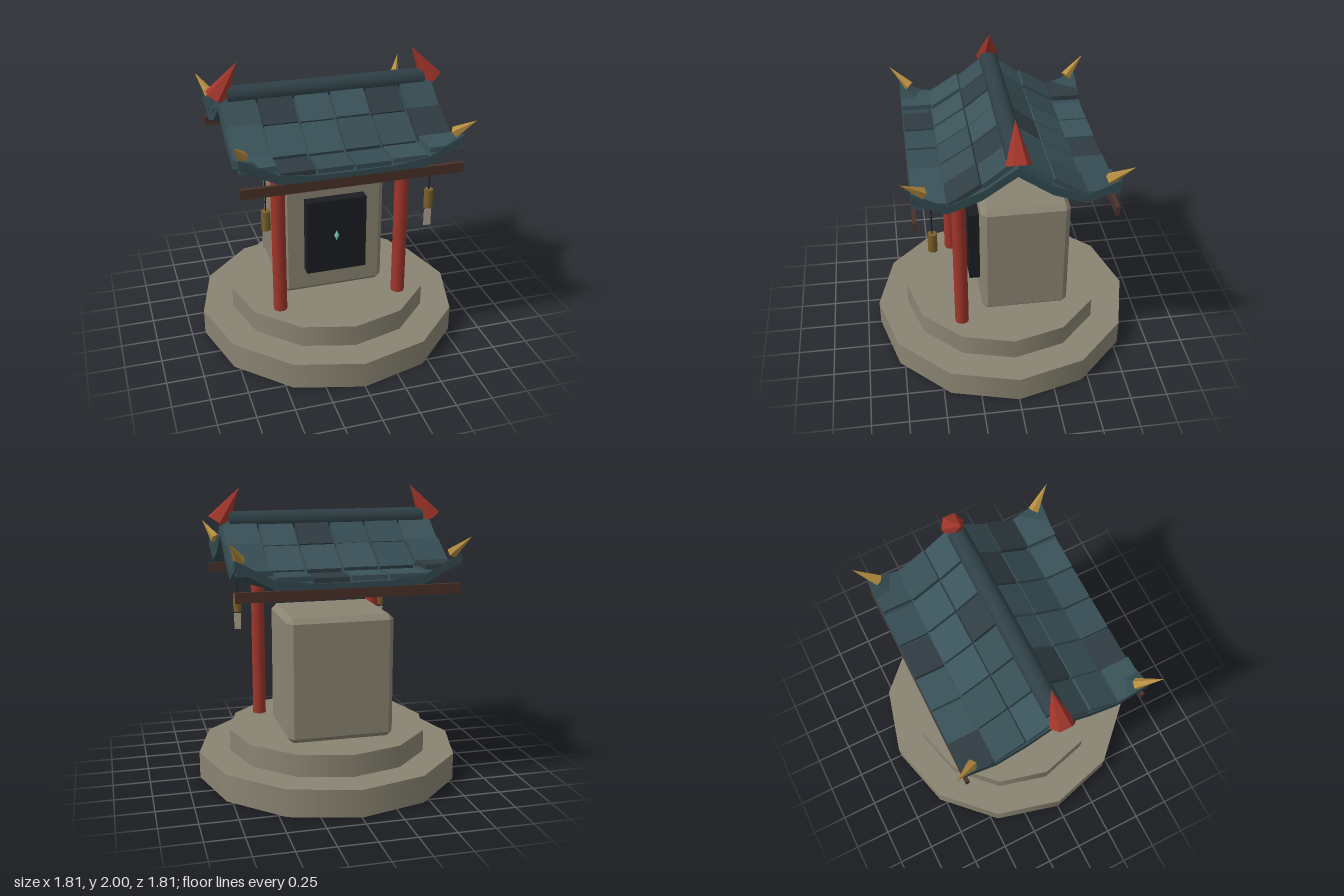
import * as THREE from 'three';
import { ConvexGeometry } from 'three/addons/geometries/ConvexGeometry.js';

const mat = (color, flatShading = false) => new THREE.MeshStandardMaterial({ color, flatShading });
const stone = mat(0x8a8472), stoneFlat = mat(0x8a8472, true), red = mat(0xa0352a), redFlat = mat(0xa0352a, true);
const slate = mat(0x334a50, true), ridgeSlate = mat(0x2e3f45), wood = mat(0x4a3228);
const tileMats = [mat(0x3a5259), mat(0x364c53), mat(0x2f3c42)];
const dark = mat(0x1c1d22), jade = mat(0x7fc8bc, true), gold = mat(0xb58d40, true), bronze = mat(0x7a5f2a), paper = mat(0xb0a590);

const W = 1.45, D = 1.27, ROW = D / 6, COL = W / 6, THICK = 0.06;
const EAVE = [1.685, 1.52, 1.385, 1.385]; // roof underside height at each row line

// underside height of the roof, with corners swept upward
const lift = (x, z) => 0.16 * Math.abs(x / (W / 2)) ** 4 * (z / (D / 2)) ** 2;
function roofY(x, z) {
  const t = Math.min(Math.abs(z) / ROW, 3), i = Math.min(Math.floor(t + 1e-4), 2);
  return THREE.MathUtils.lerp(EAVE[i], EAVE[i + 1], t - i) + lift(x, z);
}

function chamferedBox(w, h, d, c) {
  const pts = [];
  for (const x of [-1, 1]) for (const y of [-1, 1]) for (const z of [-1, 1])
    for (let k = 0; k < 3; k++) {
      const cut = [c, c, c];
      cut[k] = 0;
      pts.push(new THREE.Vector3(x * (w / 2 - cut[0]), y * (h / 2 - cut[1]), z * (d / 2 - cut[2])));
    }
  return new ConvexGeometry(pts);
}

export function createModel() {
  const model = new THREE.Group();
  model.name = 'shrine';
  const add = (name, geometry, material, x, y, z, parent = model) => {
    const mesh = new THREE.Mesh(geometry, material);
    mesh.name = name;
    mesh.position.set(x, y, z);
    parent.add(mesh);
    return mesh;
  };
  const box = (w, h, d) => new THREE.BoxGeometry(w, h, d);
  const cyl = (r, h, n = 16) => new THREE.CylinderGeometry(r, r, h, n);
  // cone standing between a base centre and a tip
  const spike = (name, r, sides, base, tip, material, parent) => {
    const a = new THREE.Vector3(...base), b = new THREE.Vector3(...tip), dir = b.clone().sub(a);
    const mid = a.clone().lerp(b, 0.5);
    const cone = add(name, new THREE.ConeGeometry(r, dir.length(), sides), material, mid.x, mid.y, mid.z, parent);
    cone.quaternion.setFromUnitVectors(new THREE.Vector3(0, 1, 0), dir.normalize());
  };

  // stepped base
  add('lowerStep', cyl(0.907, 0.185, 12), stone, 0, 0.0925, 0);
  add('upperStep', cyl(0.695, 0.15, 12), stone, 0, 0.26, 0);

  // stone body with dark front panel and gem
  add('stoneBody', chamferedBox(0.72, 0.845, 0.6, 0.035), stoneFlat, 0, 0.7575, -0.12);
  add('frontPanel', box(0.42, 0.54, 0.085), dark, 0, 0.79, 0.2125);
  add('gem', new THREE.OctahedronGeometry(1), jade, 0, 0.79, 0.245).scale.set(0.036, 0.07, 0.022);

  const roof = new THREE.Group();
  roof.name = 'roof';
  model.add(roof);

  // curved roof slab
  const slab = new THREE.BoxGeometry(W, THICK, D, 6, 1, 6);
  const p = slab.attributes.position;
  for (let i = 0; i < p.count; i++)
    p.setY(i, roofY(p.getX(i), p.getZ(i)) + (p.getY(i) > 0 ? THICK : 0));
  slab.computeVertexNormals();
  add('roofSlab', slab, slate, 0, 0, 0, roof);

  // three rows of tiles on each slope
  for (const s of [-1, 1]) for (let row = 0; row < 3; row++) {
    const drop = EAVE[row + 1] - EAVE[row], slope = Math.atan2(-drop, ROW);
    const length = Math.hypot(ROW, drop) - 0.012;
    for (let col = 0; col < 6; col++) {
      const x = (col - 2.5) * COL, z = s * (row + 0.5) * ROW;
      const pick = (col * 7 + row * 5 + (s > 0 ? 3 : 0)) % 11;
      const y = roofY(x, z) + THICK + (row < 2 ? 0.038 : 0.018) + (pick % 3) * 0.003;
      const tile = add('roofTile', box(COL - 0.015, 0.032, length), tileMats[pick > 8 ? 2 : pick % 2], x, y, z, roof);
      tile.rotation.x = s * slope;
    }
  }

  // ridge and eave beams
  add('ridge', cyl(0.065, 1.34), ridgeSlate, 0, 1.775, 0, roof).rotation.z = Math.PI / 2;
  for (const s of [-1, 1]) add('eaveBeam', box(W, 0.065, 0.025), wood, 0, 1.377, s * 0.623, roof);

  for (const s of [-1, 1]) {
    // ridge and corner finials
    spike('ridgeFinial', 0.08, 6, [s * 0.735, 1.77, 0], [s * 0.59, 1.995, 0], redFlat, roof);
    for (const t of [-1, 1])
      spike('cornerFinial', 0.038, 5, [s * 0.685, 1.595, t * 0.565], [s * 0.763, 1.715, t * 0.698], gold, roof);

    // pillars
    add('pillar', cyl(0.047, 1.13), red, s * 0.425, 0.9, 0.335);

    // hanging chimes
    const chime = new THREE.Group();
    chime.name = 'windChime';
    chime.position.set(s * 0.545, 0, 0.515);
    model.add(chime);
    add('chimeCord', cyl(0.004, 0.24, 6), dark, 0, 1.3, 0, chime);
    add('chimeBell', cyl(0.03, 0.13, 12), bronze, 0, 1.125, 0, chime);
    add('chimePaper', box(0.05, 0.12, 0.004), paper, 0, 0.985, 0, chime);
  }
  return model;
}
